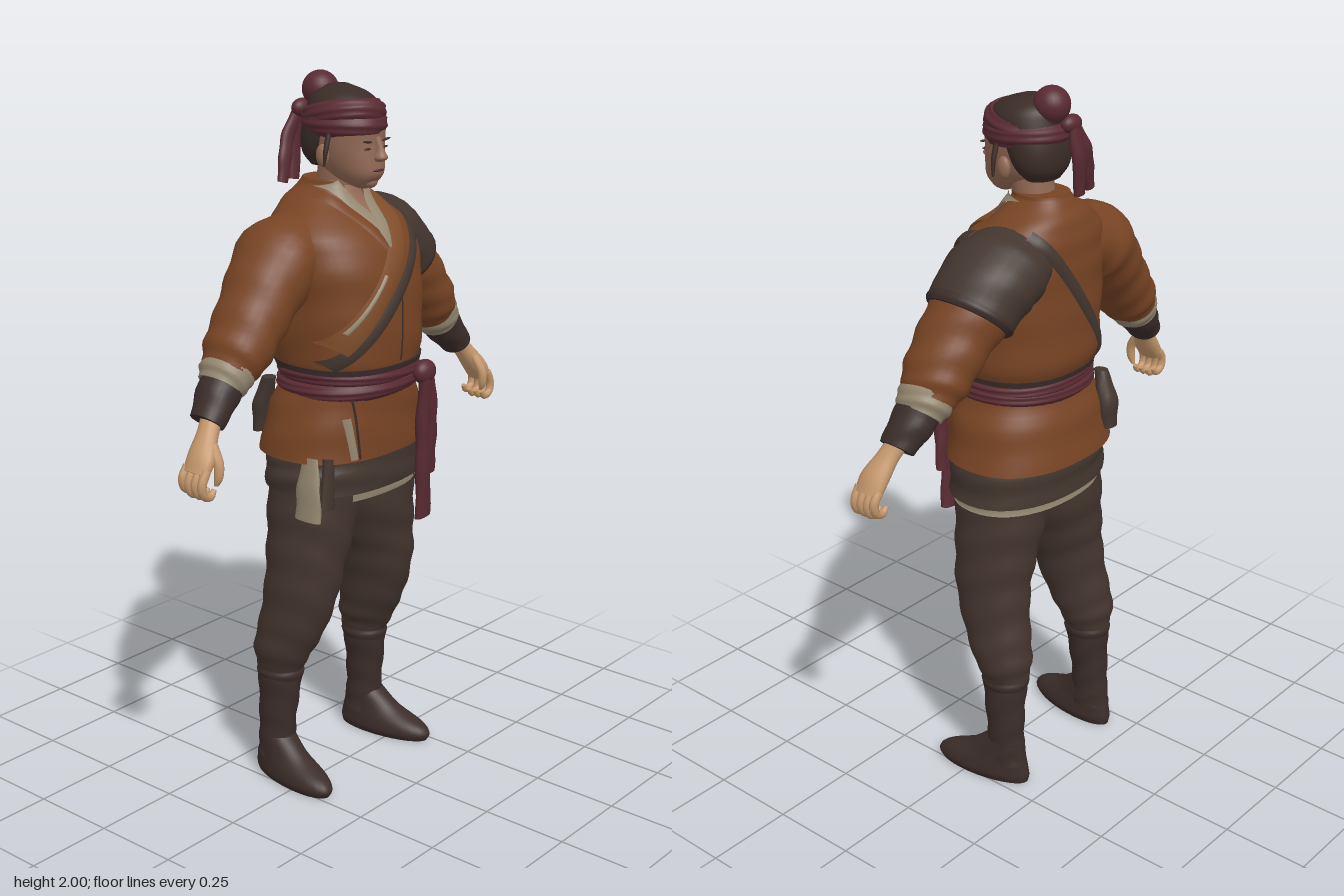
import * as THREE from 'three';

const mat = (name, color) => {
  const m = new THREE.MeshStandardMaterial({ color, side: THREE.DoubleSide });
  m.name = name;
  return m;
};

// Smooth a list of cross-sections [x, y, z, halfWidth, halfDepth]
function resample(rings, sub = 5) {
  const c = new THREE.CatmullRomCurve3(rings.map(r => new THREE.Vector3(r[0], r[1], r[2])), false, 'catmullrom');
  const s = new THREE.CatmullRomCurve3(rings.map(r => new THREE.Vector3(r[3], r[4], 0)), false, 'catmullrom');
  const n = (rings.length - 1) * sub;
  return Array.from({ length: n + 1 }, (_, i) => {
    const p = c.getPoint(i / n), q = s.getPoint(i / n);
    return [p.x, p.y, p.z, q.x, q.y];
  });
}

// Skin the smoothed cross-sections, with optional cloth folds, and cap the ends
function loft(rings, { n = 28, e = 1, fold = 0, sub = 5 } = {}) {
  const R = resample(rings, sub), pos = [], idx = [];
  const pw = v => Math.sign(v) * Math.abs(v) ** e;
  R.forEach((r, i) => {
    const a = R[Math.max(i - 1, 0)], b = R[Math.min(i + 1, R.length - 1)];
    const l = Math.hypot(b[0] - a[0], b[1] - a[1]) || 1;
    const ux = (b[1] - a[1]) / l, uy = -(b[0] - a[0]) / l;
    for (let j = 0; j < n; j++) {
      const t = j / n * Math.PI * 2;
      const k = 1 + fold * Math.sin(i * 1.25 + 2.2 * Math.cos(t + 0.6) + Math.sin(2 * t));
      const u = pw(Math.cos(t)) * r[3] * k, v = pw(Math.sin(t)) * r[4] * k;
      pos.push(r[0] + ux * u, r[1] + uy * u, r[2] + v);
    }
  });
  for (let i = 0; i < R.length - 1; i++) for (let j = 0; j < n; j++) {
    const a = i * n + j, b = i * n + (j + 1) % n;
    idx.push(a, a + n, b, b, a + n, b + n);
  }
  for (const i of [0, R.length - 1]) {
    const base = pos.length / 3;
    for (let j = 0; j < n; j++) pos.push(...pos.slice((i * n + j) * 3, (i * n + j) * 3 + 3));
    pos.push(R[i][0], R[i][1], R[i][2]);
    for (let j = 0; j < n; j++) {
      const a = base + j, b = base + (j + 1) % n;
      idx.push(base + n, ...(i ? [b, a] : [a, b]));
    }
  }
  const g = new THREE.BufferGeometry();
  g.setAttribute('position', new THREE.Float32BufferAttribute(pos, 3));
  g.setIndex(idx);
  g.computeVertexNormals();
  return g;
}

export function createModel() {
  const root = new THREE.Group();
  root.name = 'swordsman';
  const M = {
    jacket: mat('rust cloth', 0x784424), dark: mat('dark grey cloth', 0x43362f),
    trouser: mat('brown trousers', 0x44352f), leather: mat('dark leather', 0x3b2d2a),
    sash: mat('maroon cloth', 0x592a33), hand: mat('hand skin', 0xc4976c),
    face: mat('face skin', 0x926955), cream: mat('undershirt', 0x93866f),
    hair: mat('hair', 0x3a2c27), strap: mat('tan strap', 0x804d2a),
  };
  const add = (name, geo, m, parent = root) => {
    const mesh = new THREE.Mesh(geo, m);
    mesh.name = name;
    parent.add(mesh);
    return mesh;
  };
  const ball = (name, m, p, s) => {
    const b = add(name, new THREE.SphereGeometry(1, 24, 16), m);
    b.position.set(...p);
    b.scale.set(...s);
    return b;
  };

  // Jacket body
  const E = 0.87;
  const torso = [
    [0, 0.985, -0.03, 0.252, 0.188], [0, 1.10, -0.02, 0.225, 0.178], [0, 1.19, -0.005, 0.192, 0.165],
    [0, 1.27, -0.01, 0.207, 0.187], [0, 1.40, -0.012, 0.212, 0.188], [0, 1.52, -0.022, 0.22, 0.178],
    [0, 1.60, -0.045, 0.205, 0.152], [0, 1.66, -0.075, 0.14, 0.108], [0, 1.70, -0.074, 0.08, 0.082], [0, 1.72, -0.07, 0.068, 0.074]];
  add('jacketBody', loft(torso, { n: 48, e: E, fold: 0.01 }), M.jacket);

  // Depth of the jacket surface at x, y (side 1 front, -1 back)
  const fine = resample(torso);
  const surf = (x, y, side) => {
    let i = 0;
    while (i < fine.length - 2 && fine[i + 1][1] < y) i++;
    const a = fine[i], b = fine[i + 1];
    const f = THREE.MathUtils.clamp((y - a[1]) / (b[1] - a[1]), 0, 1);
    const [, , z, rx, rz] = a.map((v, k) => v + (b[k] - v) * f);
    return z + side * rz * Math.max(0, 1 - Math.abs(x / rx) ** (2 / E)) ** (E / 2);
  };
  // A strip of cloth that follows the jacket surface from one x, y to another
  const drape = (name, m, [x0, y0], [x1, y1], width, lift, side = 1) => {
    const g = new THREE.PlaneGeometry(1, 1, 6, 36), p = g.attributes.position;
    const l = Math.hypot(x1 - x0, y1 - y0), dx = (x1 - x0) / l, dy = (y1 - y0) / l;
    for (let i = 0; i < p.count; i++) {
      const t = p.getY(i) + 0.5, w = p.getX(i) * width;
      const x = x0 + dx * l * t + dy * w, y = y0 + dy * l * t - dx * w;
      p.setXYZ(i, x, y, surf(x, y, side) + side * (lift + 0.004 * (1 - (2 * p.getX(i)) ** 2)));
    }
    g.computeVertexNormals();
    return add(name, g, m);
  };
  drape('chestSkin', M.face, [0, 1.63], [0, 1.715], 0.06, 0.004);
  drape('rightCollar', M.cream, [0.012, 1.58], [-0.062, 1.712], 0.036, 0.009);
  drape('leftCollar', M.cream, [-0.02, 1.56], [0.062, 1.712], 0.036, 0.012);
  drape('rightLapel', M.jacket, [-0.02, 1.56], [-0.096, 1.69], 0.03, 0.012);
  drape('frontSeam', M.leather, [0.0, 1.25], [0.005, 1.43], 0.003, 0.003);
  drape('upperStrap', M.strap, [-0.185, 1.30], [0.1, 1.672], 0.056, 0.012);
  drape('strapLining', M.cream, [-0.172, 1.345], [-0.06, 1.49], 0.012, 0.018);
  drape('lowerStrap', M.dark, [-0.19, 1.25], [0.17, 1.62], 0.036, 0.008);
  drape('backStrap', M.dark, [-0.18, 1.2], [0.14, 1.645], 0.034, 0.007, -1);
  drape('shirtFlap', M.cream, [-0.16, 1.11], [-0.145, 0.995], 0.02, 0.008);
  drape('jacketOverlap', M.leather, [-0.142, 1.16], [-0.13, 0.995], 0.006, 0.008);

  // Skirts under the jacket
  add('darkSkirt', loft([[0.005, 0.885, -0.028, 0.25, 0.172], [0.005, 0.96, -0.028, 0.245, 0.174], [0, 1.03, -0.025, 0.22, 0.165]], { n: 40, e: 0.9, fold: 0.015 }), M.dark);
  add('undershirtHem', loft([[0.01, 0.86, -0.03, 0.236, 0.16], [0.01, 0.92, -0.03, 0.235, 0.16]], { n: 40, e: 0.9, fold: 0.01 }), M.cream);

  // Waist sash, knot and hanging ends
  for (const [y, r, lean] of [[1.178, 0.204, 0.012], [1.208, 0.199, -0.01]]) {
    const wrap = add('waistSash', loft([[0, -0.024, 0, r - 0.01, 0.167], [0, -0.008, 0, r, 0.18], [0, 0.01, 0, r, 0.18], [0, 0.024, 0, r - 0.012, 0.166]], { n: 40, e: 0.9, fold: 0.01 }), M.sash);
    wrap.position.set(0, y, -0.004);
    wrap.rotation.z = lean * 3;
  }
  add('belt', loft([[0, 1.224, -0.005, 0.202, 0.18], [0, 1.24, -0.005, 0.205, 0.184]], { n: 40, e: E }), M.leather);
  ball('sashKnot', M.sash, [0.105, 1.195, 0.178], [0.04, 0.034, 0.028]);
  add('longSashEnd', loft([[0.1, 1.2, 0.188, 0.018, 0.015], [0.102, 1.06, 0.176, 0.02, 0.018], [0.112, 0.92, 0.172, 0.026, 0.018], [0.124, 0.765, 0.165, 0.03, 0.014]], { n: 16, fold: 0.09 }), M.sash);
  add('shortSashEnd', loft([[0.115, 1.2, 0.185, 0.018, 0.015], [0.136, 1.08, 0.178, 0.02, 0.018], [0.144, 0.98, 0.17, 0.022, 0.016], [0.15, 0.89, 0.165, 0.02, 0.012]], { n: 16, fold: 0.09 }), M.sash);

  // Rag at the right hip and pouch at the back
  add('hipRag', loft([[-0.222, 1.0, 0.05, 0.01, 0.025], [-0.238, 0.92, 0.055, 0.012, 0.04], [-0.245, 0.83, 0.06, 0.014, 0.045]], { n: 14, fold: 0.05 }), M.cream);
  add('hipFlap', loft([[-0.195, 1.0, 0.09, 0.02, 0.014], [-0.208, 0.86, 0.095, 0.026, 0.012]], { n: 14, fold: 0.05 }), M.dark);
  add('backPouch', loft([[-0.165, 1.18, -0.15, 0.018, 0.02], [-0.16, 1.1, -0.178, 0.034, 0.026], [-0.16, 1.02, -0.186, 0.028, 0.018]], { n: 14, fold: 0.05 }), M.dark);

  // Arms, legs and boots
  for (const s of [1, -1]) {
    const side = s > 0 ? 'left' : 'right';
    const limb = (name, m, rings, o) => add(side + name, loft(rings.map(([x, ...r]) => [x * s, ...r]), o), m);
    limb('Sleeve', M.jacket, [[0.11, 1.56, -0.068, 0.09, 0.112], [0.21, 1.525, -0.068, 0.108, 0.126], [0.285, 1.45, -0.06, 0.099, 0.112],
      [0.35, 1.375, -0.052, 0.089, 0.102], [0.4, 1.31, -0.05, 0.082, 0.096], [0.43, 1.27, -0.05, 0.066, 0.078]], { fold: 0.03 });
    limb('Cuff', M.cream, [[0.415, 1.295, -0.05, 0.066, 0.076], [0.442, 1.26, -0.048, 0.068, 0.077], [0.462, 1.236, -0.046, 0.058, 0.066]], { fold: 0.03 });
    limb('Bracer', M.leather, [[0.44, 1.262, -0.047, 0.058, 0.064], [0.485, 1.21, -0.042, 0.053, 0.06], [0.53, 1.158, -0.032, 0.041, 0.05]], { fold: 0.025 });
    limb('Palm', M.hand, [[0.51, 1.18, -0.03, 0.027, 0.032], [0.545, 1.135, -0.015, 0.025, 0.032], [0.582, 1.085, -0.002, 0.027, 0.043], [0.608, 1.045, 0, 0.02, 0.042]], { n: 18 });
    for (let f = 0; f < 4; f++) {
      const z = 0.034 - f * 0.0225, d = f === 3 ? 0.008 : 0;
      limb('Finger', M.hand, [[0.602, 1.06, z, 0.013, 0.012], [0.62, 1.025 + d, z, 0.0125, 0.0125], [0.614, 0.996 + d, z, 0.0115, 0.012],
        [0.59, 0.988 + d, z, 0.011, 0.011], [0.576, 1.004 + d, z, 0.006, 0.007]], { n: 10, sub: 3 });
    }
    limb('Thumb', M.hand, [[0.56, 1.12, 0.012, 0.016, 0.015], [0.565, 1.075, 0.04, 0.014, 0.014], [0.568, 1.035, 0.043, 0.012, 0.012], [0.57, 1.012, 0.036, 0.006, 0.006]], { n: 10, sub: 3 });

    limb('Trouser', M.trouser, [[0.115, 0.94, -0.03, 0.11, 0.14], [0.128, 0.8, -0.03, 0.112, 0.134], [0.15, 0.69, -0.032, 0.1, 0.122], [0.166, 0.59, -0.036, 0.09, 0.115],
      [0.178, 0.48, -0.06, 0.083, 0.104], [0.187, 0.4, -0.087, 0.079, 0.09], [0.187, 0.34, -0.1, 0.062, 0.07]], { fold: 0.025 });
    limb('BootShaft', M.leather, [[0.187, 0.375, -0.1, 0.062, 0.068], [0.19, 0.3, -0.1, 0.06, 0.064], [0.195, 0.2, -0.105, 0.051, 0.057],
      [0.196, 0.12, -0.108, 0.048, 0.056], [0.196, 0.06, -0.108, 0.05, 0.062]], { fold: 0.035 });
    limb('BootBinding', M.leather, [[0.188, 0.338, -0.1, 0.061, 0.067], [0.188, 0.325, -0.1, 0.065, 0.071], [0.188, 0.308, -0.1, 0.06, 0.066]]);
    const foot = add(side + 'Foot', loft([[0, 0, 0.073, 0.05, 0.146], [0, 0.02, 0.076, 0.059, 0.152], [0, 0.045, 0.066, 0.057, 0.138],
      [0, 0.08, 0.03, 0.05, 0.094], [0, 0.13, 0, 0.046, 0.058]], { n: 32 }), M.leather);
    foot.position.set(0.198 * s, 0, -0.108);
    foot.rotation.y = 0.14 * s;

    // Ears, eyes, brows and loose locks
    ball(side + 'Ear', M.face, [0.09 * s, 1.79, -0.018], [0.014, 0.03, 0.02]);
    ball(side + 'Eye', M.hair, [0.035 * s, 1.81, 0.09], [0.013, 0.003, 0.005]);
    ball(side + 'Brow', M.hair, [0.037 * s, 1.829, 0.092], [0.019, 0.003, 0.005]).rotation.z = 0.12 * s;
    limb('Lock', M.hair, [[0.092, 1.85, 0.005, 0.007, 0.008], [0.104, 1.805, 0.005, 0.006, 0.007], [0.108, 1.765, 0.003, 0.003, 0.003]], { n: 8 });
  }

  // Shoulder guard on the left
  add('shoulderGuard', loft([[0.1, 1.565, -0.072, 0.092, 0.115], [0.15, 1.55, -0.072, 0.108, 0.132], [0.215, 1.522, -0.07, 0.115, 0.136], [0.28, 1.456, -0.064, 0.11, 0.124]], { fold: 0.015 }), M.dark);
  add('shoulderGuardTrim', loft([[0.27, 1.467, -0.064, 0.111, 0.125], [0.28, 1.456, -0.064, 0.114, 0.128], [0.288, 1.447, -0.063, 0.108, 0.121]]), M.leather);

  // Neck and head
  add('neck', loft([[0, 1.62, -0.06, 0.062, 0.062], [0, 1.70, -0.045, 0.056, 0.058], [0, 1.78, -0.03, 0.058, 0.062]]), M.face);
  add('face', loft([[0, 1.702, 0.05, 0.02, 0.018], [0, 1.715, 0.04, 0.042, 0.04], [0, 1.74, 0.02, 0.062, 0.08], [0, 1.775, 0, 0.077, 0.1],
    [0, 1.82, -0.012, 0.087, 0.108], [0, 1.87, -0.016, 0.09, 0.112], [0, 1.92, -0.02, 0.08, 0.095]], { n: 32, e: 0.92 }), M.face);
  add('nose', loft([[0, 1.776, 0.1, 0.012, 0.012], [0, 1.786, 0.104, 0.018, 0.022], [0, 1.805, 0.099, 0.011, 0.018], [0, 1.84, 0.092, 0.009, 0.01]], { n: 14 }), M.face);
  ball('mouth', M.sash, [0, 1.752, 0.097], [0.022, 0.004, 0.009]);
  ball('chin', M.face, [0, 1.72, 0.07], [0.024, 0.018, 0.018]);
  add('hair', loft([[0, 1.755, -0.075, 0.055, 0.04], [0, 1.79, -0.07, 0.084, 0.066], [0, 1.84, -0.055, 0.094, 0.084], [0, 1.91, -0.024, 0.09, 0.1],
    [0, 1.945, -0.03, 0.068, 0.08], [0, 1.968, -0.04, 0.025, 0.03]], { n: 32 }), M.hair);

  // Head scarf, topknot and scarf tails
  for (const [y, k, tilt] of [[1.872, 1, 0.05], [1.892, 0.975, -0.16]]) {
    const band = add('headScarf', loft([[0, -0.03, 0, 0.093 * k, 0.11 * k], [0, -0.01, 0, 0.103 * k, 0.121 * k], [0, 0.012, 0, 0.102 * k, 0.12 * k], [0, 0.03, 0, 0.088 * k, 0.104 * k]], { n: 36, fold: 0.015 }), M.sash);
    band.position.set(0, y, -0.02);
    band.rotation.set(tilt, 0, tilt * 0.6);
  }
  ball('topknot', M.sash, [-0.003, 1.95, -0.1], [0.05, 0.049, 0.049]);
  ball('topknotBase', M.hair, [0, 1.92, -0.085], [0.045, 0.035, 0.045]);
  ball('scarfKnot', M.sash, [-0.035, 1.9, -0.138], [0.035, 0.025, 0.022]);
  add('longScarfTail', loft([[-0.04, 1.9, -0.145, 0.014, 0.012], [-0.075, 1.83, -0.152, 0.022, 0.014], [-0.1, 1.77, -0.142, 0.022, 0.014], [-0.118, 1.71, -0.135, 0.016, 0.012]], { n: 12, fold: 0.06 }), M.sash);
  add('shortScarfTail', loft([[-0.03, 1.9, -0.145, 0.014, 0.012], [-0.04, 1.82, -0.158, 0.022, 0.014], [-0.055, 1.71, -0.152, 0.018, 0.012]], { n: 12, fold: 0.06 }), M.sash);
  return root;
}
